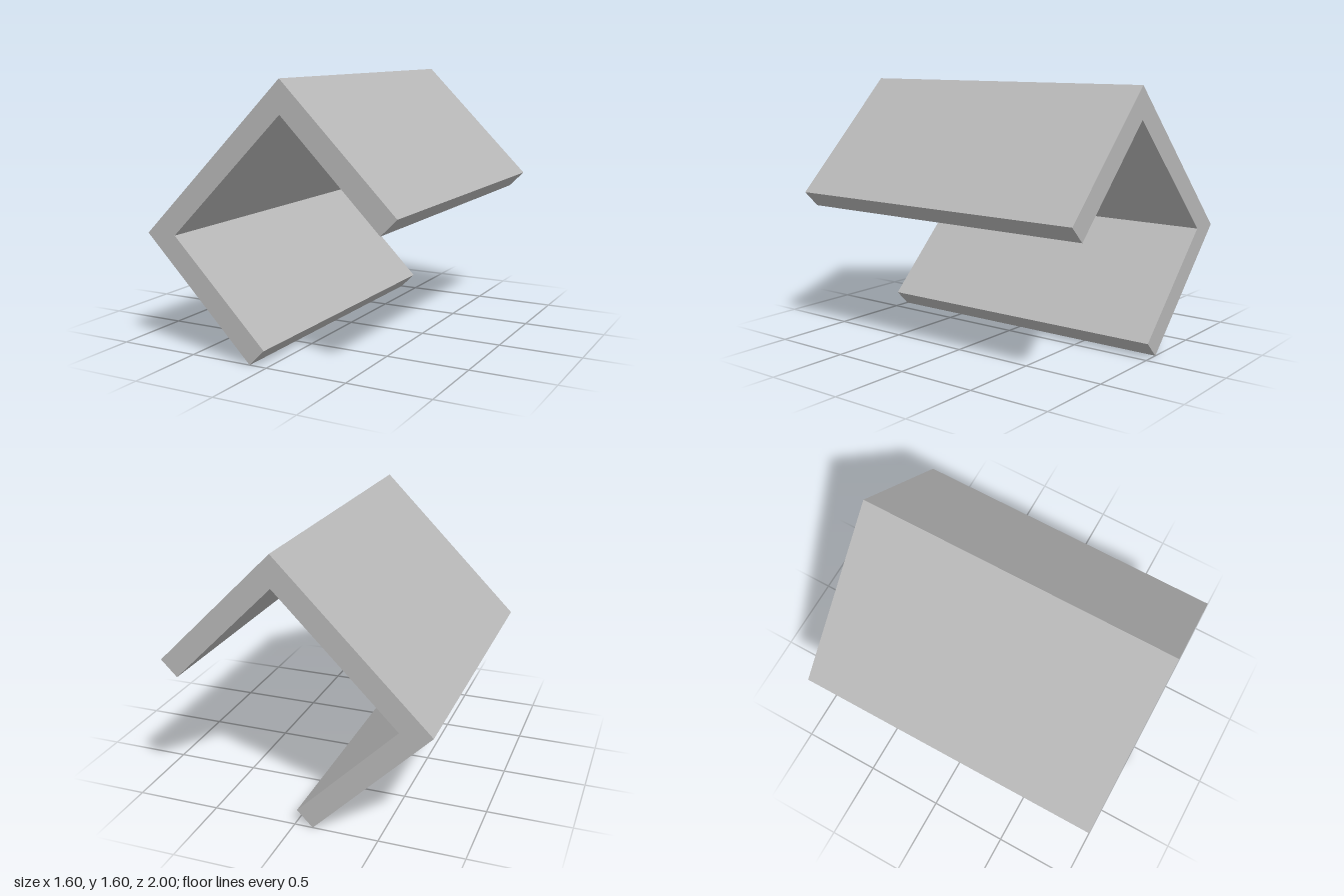
import * as THREE from 'three';

export function createModel() {
  const model = new THREE.Group();
  model.name = 'angledChannel';

  const gray = new THREE.MeshStandardMaterial({ color: 0xb8b8b8 });
  gray.name = 'light gray';

  // C-shaped section: long web with two equal flanges, tilted 45 degrees
  const section = new THREE.Shape([
    [-0.11, 0], [-0.015, 0.095], [-0.61, 0.69], [0.105, 1.405],
    [0.7, 0.81], [0.795, 0.905], [0.105, 1.595], [-0.8, 0.69],
  ].map(([x, y]) => new THREE.Vector2(x, y)));

  // Straight run of the section from back to front
  const geometry = new THREE.ExtrudeGeometry(section, { depth: 2, bevelEnabled: false });
  geometry.translate(0, 0, -1);

  const channel = new THREE.Mesh(geometry, gray);
  channel.name = 'channel';
  model.add(channel);
  return model;
}
